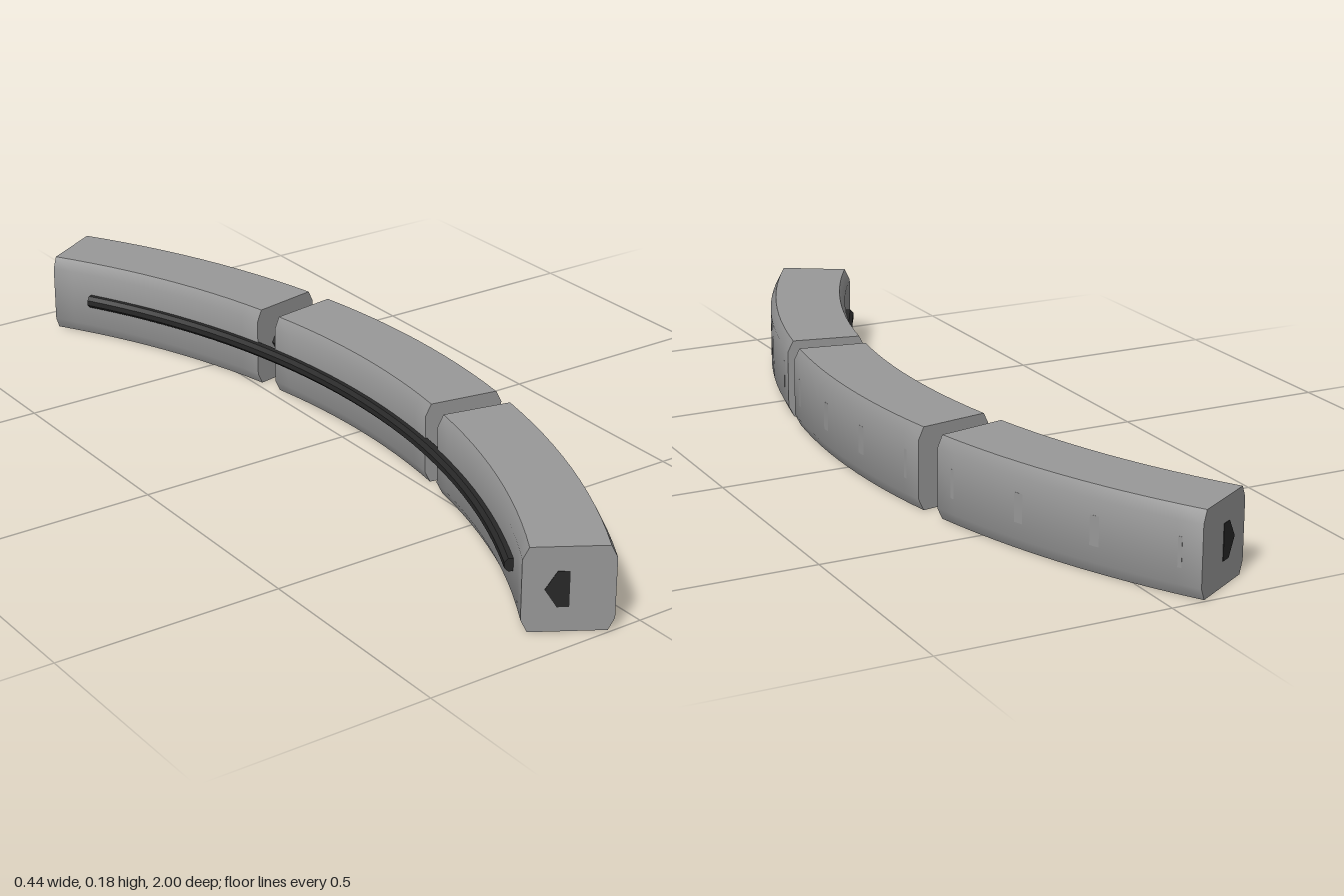
import * as THREE from 'three';
import { toCreasedNormals } from 'three/addons/utils/BufferGeometryUtils.js';

const CENTRE_X = -1.69;          // centre of the shared arc
const MID_Y = 0.091;
const RAD = Math.PI / 180;

// Sweeps a convex, counter-clockwise section of [radius, y] points along the arc.
function arcSweep(section, from, to, steps) {
  const n = section.length, pos = [], idx = [];
  for (let i = 0; i <= steps; i++) {
    const a = (from + (to - from) * i / steps) * RAD;
    for (const [r, y] of section) pos.push(CENTRE_X + r * Math.cos(a), y, r * Math.sin(a));
  }
  for (let i = 0; i < steps; i++) {
    for (let j = 0; j < n; j++) {
      const a = i * n + j, b = i * n + (j + 1) % n;
      idx.push(a, b, b + n, a, b + n, a + n);
    }
  }
  const last = steps * n;
  for (let j = 1; j < n - 1; j++) {
    idx.push(0, j + 1, j, last, last + j, last + j + 1);
  }
  const geo = new THREE.BufferGeometry();
  geo.setAttribute('position', new THREE.Float32BufferAttribute(pos, 3));
  geo.setIndex(idx);
  return toCreasedNormals(geo, 0.55);
}

// Rectangle with chamfered corners, centred on MID_Y.
function chamfered(r0, r1, height, cr, cy) {
  const b = MID_Y - height / 2, t = MID_Y + height / 2;
  return [[r0 + cr, b], [r1 - cr, b], [r1, b + cy], [r1, t - cy],
    [r1 - cr, t], [r0 + cr, t], [r0, t - cy], [r0, b + cy]];
}

export function createModel() {
  const model = new THREE.Group();
  const grey = new THREE.MeshStandardMaterial({ color: 0x999999 });
  const dark = new THREE.MeshStandardMaterial({ color: 0x282828 });
  const add = (name, geo, mat) => {
    const mesh = new THREE.Mesh(geo, mat);
    mesh.name = name;
    model.add(mesh);
  };

  // Three curved body segments, each with an almost flush strip on its outer side
  const body = chamfered(1.728, 1.909, 0.182, 0.013, 0.026);
  const strip = [[1.9, 0.06], [1.9094, 0.06], [1.9094, 0.123], [1.9, 0.123]];
  const segments = [['front', 11.5, 31.59], ['middle', -9.6, 9.6], ['back', -31.59, -11.5]];
  for (const [place, from, to] of segments) {
    add(place + 'Segment', arcSweep(body, from, to, 12), grey);
    add(place + 'OuterStrip', arcSweep(strip, from + 1.3, to - 1.3, 3), grey);
  }

  // Hexagonal connectors in the gaps, and pointed core ends flush with the end faces
  const hexagon = [[1.775, 0.091], [1.798, 0.054], [1.838, 0.054],
    [1.861, 0.091], [1.838, 0.13], [1.798, 0.13]];
  const pentagon = [[1.772, 0.091], [1.796, 0.053], [1.82, 0.053], [1.82, 0.13], [1.796, 0.13]];
  for (const [place, s] of [['front', 1], ['back', -1]]) {
    add(place + 'Connector', arcSweep(hexagon, s * 10.55 - 1.3, s * 10.55 + 1.3, 2), dark);
    add(place + 'CoreEnd', arcSweep(pentagon, s * 31.36 - 0.27, s * 31.36 + 0.27, 1), dark);
  }

  // Long rail along the inner side
  add('innerRail', arcSweep(chamfered(1.71, 1.74, 0.028, 0.008, 0.008), -28.2, 28.2, 32), dark);

  return model;
}
